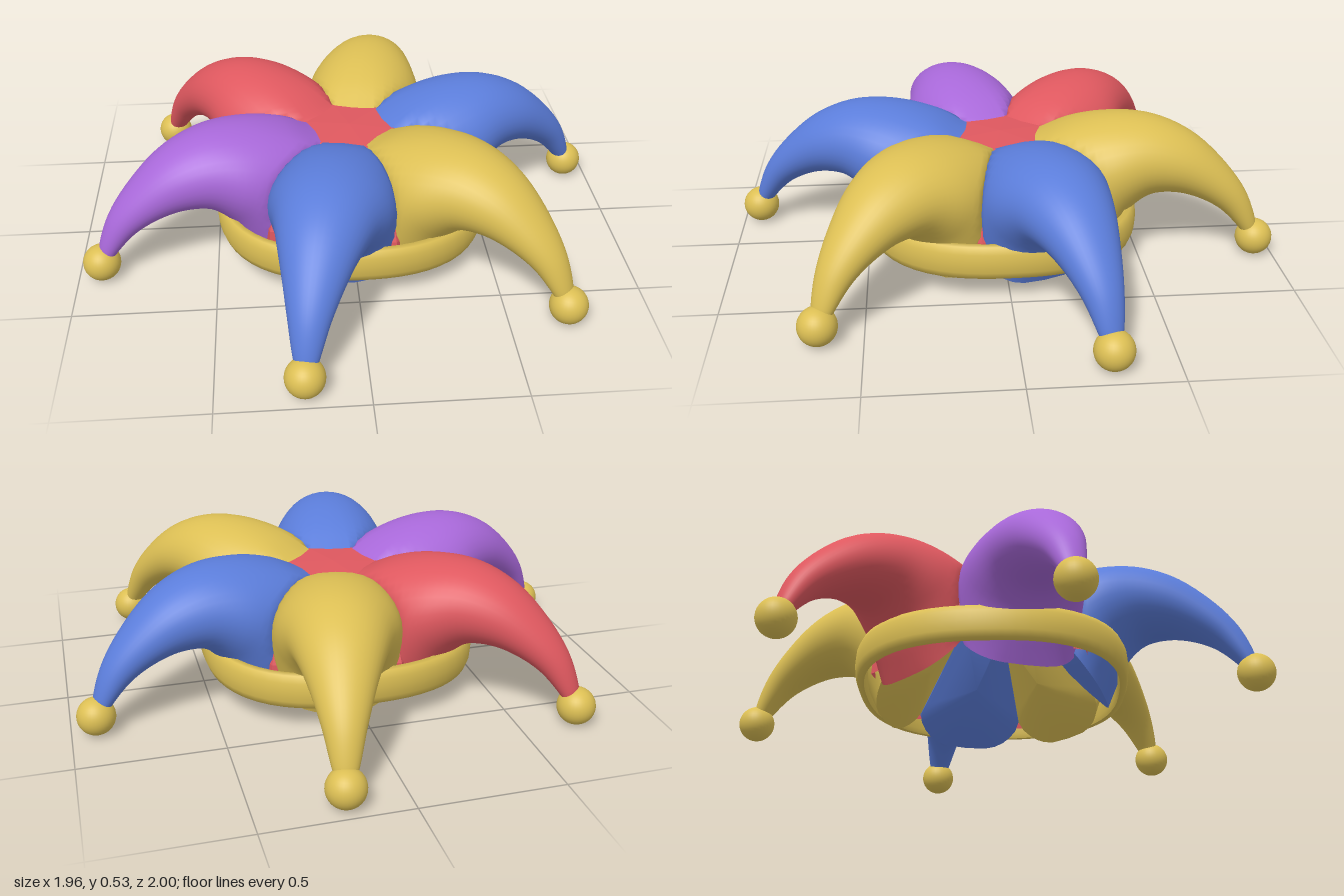
import * as THREE from 'three';

const mat = (name, color, side = THREE.FrontSide) => {
  const m = new THREE.MeshStandardMaterial({ color, side });
  m.name = name;
  return m;
};

const SIDES = 36;
const WEDGE = Math.tan(Math.PI / 6) * 0.995; // neighbouring horns meet along this slope

// Skins a list of closed rings of points, smooth all round
function skin(rings) {
  const pos = [], idx = [];
  for (const r of rings) for (const p of r) pos.push(p.x, p.y, p.z);
  for (let i = 0; i < rings.length - 1; i++) {
    for (let j = 0; j < SIDES; j++) {
      const k = (j + 1) % SIDES;
      const a = i * SIDES + j, c = i * SIDES + k;
      const b = a + SIDES, d = c + SIDES;
      idx.push(a, c, b, b, c, d);
    }
  }
  const g = new THREE.BufferGeometry();
  g.setAttribute('position', new THREE.Float32BufferAttribute(pos, 3));
  g.setIndex(idx);
  g.computeVertexNormals();
  return g;
}

// Oval section between a top and a bottom point, held inside the horn's wedge;
// a roundness under 1 makes it boxier
function section(top, bottom, halfWidth, roundness) {
  const ring = [];
  for (let j = 0; j < SIDES; j++) {
    const t = (j / SIDES) * Math.PI * 2;
    const f = (1 - Math.cos(t)) / 2;
    const x = top.x + (bottom.x - top.x) * f;
    const y = top.y + (bottom.y - top.y) * f;
    const s = Math.sin(t);
    const z = halfWidth * Math.sign(s) * Math.abs(s) ** roundness;
    ring.push(new THREE.Vector3(x, y, THREE.MathUtils.clamp(z, -x * WEDGE, x * WEDGE)));
  }
  return ring;
}

// Horn profile: top x, top y, bottom x, bottom y, half width
const PROFILE = [
  [0.13, 0.43, 0.42, 0.025, 0.228],
  [0.25, 0.49, 0.455, 0.095, 0.228],
  [0.40, 0.525, 0.50, 0.18, 0.215],
  [0.56, 0.52, 0.565, 0.235, 0.174],
  [0.70, 0.465, 0.65, 0.245, 0.137],
  [0.82, 0.365, 0.735, 0.225, 0.101],
  [0.91, 0.25, 0.82, 0.18, 0.069],
  [0.955, 0.14, 0.89, 0.112, 0.045],
  [0.965, 0.08, 0.92, 0.07, 0.03],
];

function hornGeometries() {
  const tops = new THREE.CatmullRomCurve3(PROFILE.map(p => new THREE.Vector3(p[0], p[1], p[4])));
  const bottoms = new THREE.CatmullRomCurve3(PROFILE.map(p => new THREE.Vector3(p[2], p[3], 0)));
  const rings = [];
  const steps = 40;
  for (let i = 0; i <= steps; i++) {
    const t = i / steps;
    const top = tops.getPoint(t);
    rings.push(section(top, bottoms.getPoint(t), top.z, Math.min(1, 0.62 + t * 1.6)));
  }
  // Slightly bulging lining closing the wide end
  const rim = rings[0];
  const centre = new THREE.Vector3(0.275, 0.228, 0);
  const lining = [[0.001, 0.03], [0.35, 0.026], [0.7, 0.014], [1, 0]].map(([s, bulge]) =>
    rim.map(p => centre.clone().lerp(p, s).add(new THREE.Vector3(-bulge, -bulge * 0.7, 0))));
  return [skin(rings), skin(lining)];
}

// Headband: a rounded strip swept round a slightly squared circle
function bandGeometry() {
  const profile = [[0.468, 0.087], [0.49, 0.09], [0.499, 0.115], [0.502, 0.15], [0.499, 0.185],
    [0.488, 0.21], [0.472, 0.215], [0.462, 0.195], [0.459, 0.15], [0.462, 0.105], [0.468, 0.087]];
  const g = new THREE.LatheGeometry(profile.map(p => new THREE.Vector2(...p)), 64);
  const pos = g.attributes.position;
  const n = 2.5;
  for (let i = 0; i < pos.count; i++) {
    const x = pos.getX(i), z = pos.getZ(i);
    const k = Math.hypot(x, z) / (Math.abs(x) ** n + Math.abs(z) ** n) ** (1 / n);
    pos.setXYZ(i, x * k, pos.getY(i), z * k);
  }
  return g;
}

export function createModel() {
  const gold = mat('gold', 0xdcbf54);
  const blue = mat('blue', 0x5b7dda);
  const red = mat('red', 0xdf585f, THREE.DoubleSide);
  const purple = mat('purple', 0xa868d9);

  const hat = new THREE.Group();
  hat.name = 'jesterHat';
  const add = (parent, name, geometry, material) => {
    const mesh = new THREE.Mesh(geometry, material);
    mesh.name = name;
    parent.add(mesh);
    return mesh;
  };

  // Six drooping horns, each ending in a bell
  const [hornGeo, liningGeo] = hornGeometries();
  const bellGeo = new THREE.SphereGeometry(0.067, 32, 20);
  const first = THREE.MathUtils.degToRad(-17.3);
  [blue, gold, blue, purple, red, gold].forEach((material, i) => {
    const horn = new THREE.Group();
    horn.name = 'horn' + (i + 1);
    add(horn, 'hornSleeve', hornGeo, material);
    add(horn, 'hornLining', liningGeo, material);
    add(horn, 'bell', bellGeo, gold).position.set(0.955, 0.067, 0);
    horn.rotation.y = -(first + i * Math.PI / 3);
    hat.add(horn);
  });

  // Six-sided crown showing at the top and in the gaps between the horns
  const crownProfile = [[0.455, 0.12], [0.45, 0.2], [0.42, 0.28], [0.32, 0.36], [0.165, 0.43], [0, 0.437]]
    .map(p => new THREE.Vector2(...p));
  const crownGeo = new THREE.LatheGeometry(crownProfile, 6).toNonIndexed();
  crownGeo.computeVertexNormals();
  const crown = add(hat, 'crown', crownGeo, red);
  crown.rotation.y = -(first + Math.PI / 6) + Math.PI / 2;

  add(hat, 'headband', bandGeometry(), gold);

  return hat;
}
